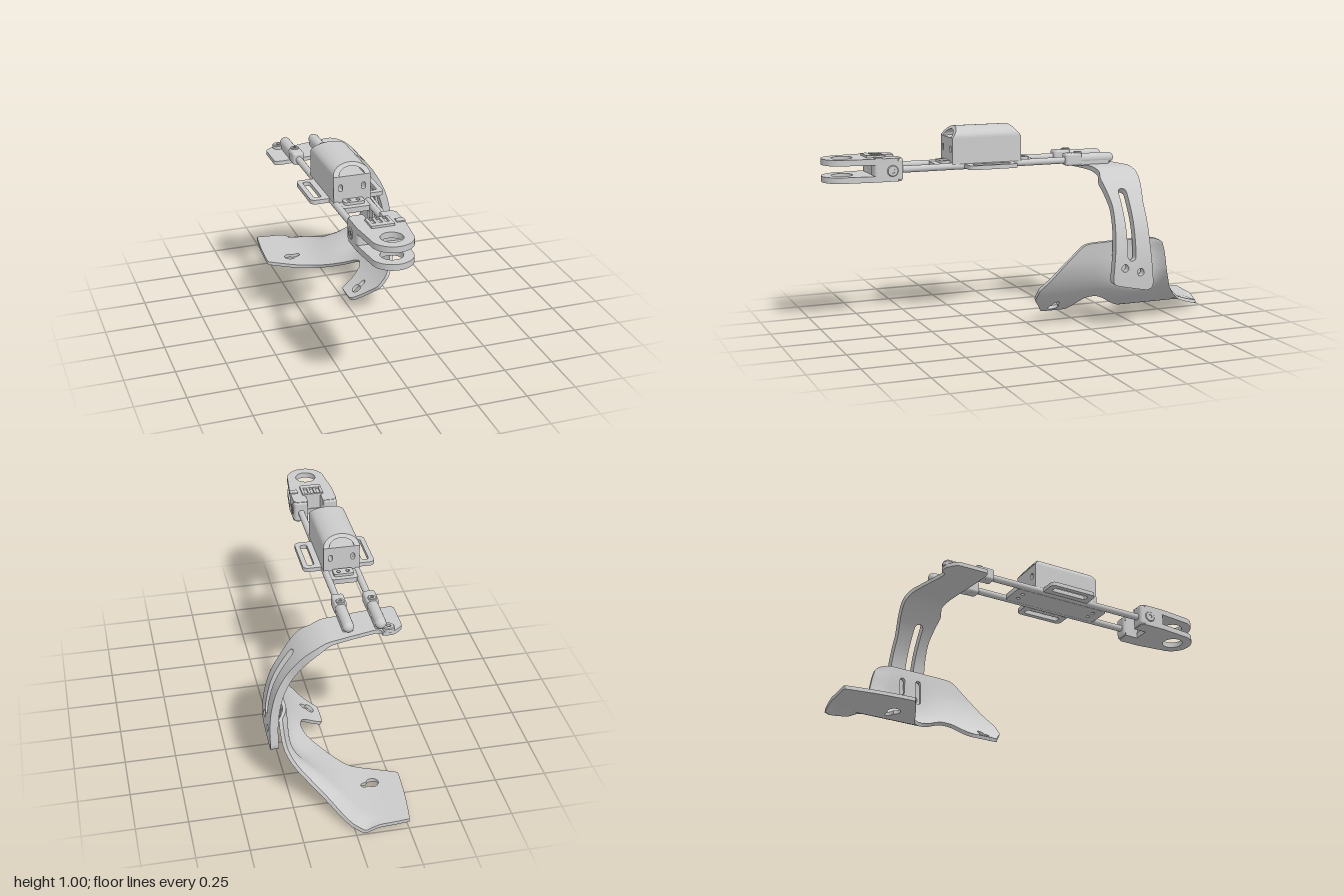
import * as THREE from 'three';
import { toCreasedNormals } from 'three/addons/utils/BufferGeometryUtils.js';
import { RoundedBoxGeometry } from 'three/addons/geometries/RoundedBoxGeometry.js';

const grey = new THREE.MeshStandardMaterial({ color: 0xcccccc });
const V2 = (p) => new THREE.Vector2(p[0], p[1]);

function add(parent, name, geo, x = 0, y = 0, z = 0) {
  const m = new THREE.Mesh(geo, grey);
  m.name = name;
  m.position.set(x, y, z);
  parent.add(m);
  return m;
}

// Closest point to p on the segment a-b
function onSegment(p, a, b) {
  const d = b.clone().sub(a);
  const k = d.lengthSq() ? THREE.MathUtils.clamp(p.clone().sub(a).dot(d) / d.lengthSq(), 0, 1) : 0;
  return a.clone().addScaledVector(d, k);
}

function onPath(p, pts, closed) {
  let best = null, bd = Infinity;
  for (let i = 0; i < pts.length - (closed ? 0 : 1); i++) {
    const q = onSegment(p, pts[i], pts[(i + 1) % pts.length]);
    const d = q.distanceTo(p);
    if (d < bd) { bd = d; best = q; }
  }
  return { q: best, d: bd };
}

function inside(p, pts) {
  let odd = false;
  for (let i = 0, j = pts.length - 1; i < pts.length; j = i++) {
    const a = pts[i], b = pts[j];
    if ((a.y > p.y) !== (b.y > p.y) && p.x < (b.x - a.x) * (p.y - a.y) / (b.y - a.y) + a.x) odd = !odd;
  }
  return odd;
}

// Thick shell: an outline in (distance along a curve, z) with round-ended slots
// [s0, z0, s1, z1, radius], bent along a curve in the xy plane.
function bentShell(curve, outline, slots, thick, lift, step = 0.01) {
  const smooth = new THREE.CatmullRomCurve3(outline.map((p) => new THREE.Vector3(p[0], p[1], 0)), true, 'catmullrom', 0.25);
  const rim = smooth.getPoints(outline.length * 5).slice(0, -1).map((p) => new THREE.Vector2(p.x, p.y));
  const box = new THREE.Box2().setFromPoints(rim).expandByScalar(step * 1.5);
  const ni = Math.ceil((box.max.x - box.min.x) / step), nj = Math.ceil((box.max.y - box.min.y) / step);
  const at = (i, j) => new THREE.Vector2(box.min.x + i * step, box.min.y + j * step);
  const caps = slots.map((c) => ({ a: V2(c), b: V2([c[2], c[3]]), r: c[4] }));
  const kept = [];
  for (let i = 0; i < ni; i++) for (let j = 0; j < nj; j++) {
    const p = at(i + 0.5, j + 0.5);
    kept.push(inside(p, rim) && caps.every((c) => onSegment(p, c.a, c.b).distanceTo(p) > c.r));
  }
  const keep = (i, j) => i >= 0 && j >= 0 && i < ni && j < nj && kept[i * nj + j];

  // Rim vertices slide onto the exact outline or slot edge
  const len = curve.getLength(), cache = new Map();
  const vertex = (i, j) => {
    const key = i * 10000 + j;
    if (cache.has(key)) return cache.get(key);
    let p = at(i, j);
    const n = keep(i, j) + keep(i - 1, j) + keep(i, j - 1) + keep(i - 1, j - 1);
    if (n < 4) {
      let { q, d } = onPath(p, rim, true);
      for (const c of caps) {
        const m = onSegment(p, c.a, c.b), r = m.distanceTo(p);
        if (r > 0 && Math.abs(r - c.r) < d) {
          d = Math.abs(r - c.r);
          q = m.clone().addScaledVector(p.clone().sub(m), c.r / r);
        }
      }
      p = q;
    }
    const u = THREE.MathUtils.clamp(p.x / len, 0, 1);
    const c = curve.getPointAt(u), t = curve.getTangentAt(u), h = thick(p) / 2, o = lift(p);
    const pair = [o + h, o - h].map((k) => [c.x + t.y * k, c.y - t.x * k, p.y]);
    cache.set(key, pair);
    return pair;
  };
  const pos = [];
  const quad = (a, b, c, d) => pos.push(...a, ...b, ...c, ...a, ...c, ...d);
  for (let i = 0; i < ni; i++) for (let j = 0; j < nj; j++) {
    if (!keep(i, j)) continue;
    const v = [vertex(i, j), vertex(i + 1, j), vertex(i + 1, j + 1), vertex(i, j + 1)];
    quad(...v.map((p) => p[0]));
    quad(...v.map((p) => p[1]).reverse());
    [[0, -1], [1, 0], [0, 1], [-1, 0]].forEach(([di, dj], e) => {
      const a = v[e], b = v[(e + 1) % 4];
      if (!keep(i + di, j + dj)) quad(a[1], b[1], b[0], a[0]);
    });
  }
  const geo = new THREE.BufferGeometry();
  geo.setAttribute('position', new THREE.Float32BufferAttribute(pos, 3));
  return toCreasedNormals(geo, 0.7);
}

// Flat plate from a shape drawn in (x, z)
function plate(shape, y0, y1) {
  const geo = new THREE.ExtrudeGeometry(shape, { depth: y1 - y0, bevelEnabled: false, curveSegments: 24 });
  return toCreasedNormals(geo.rotateX(Math.PI / 2).translate(0, y1, 0), 0.6);
}

function roundRect(x0, y0, x1, y1, r, Type = THREE.Shape) {
  const s = new Type();
  s.absarc(x1 - r, y1 - r, r, 0, Math.PI / 2);
  s.absarc(x0 + r, y1 - r, r, Math.PI / 2, Math.PI);
  s.absarc(x0 + r, y0 + r, r, Math.PI, Math.PI * 1.5);
  s.absarc(x1 - r, y0 + r, r, Math.PI * 1.5, Math.PI * 2);
  s.closePath();
  return s;
}

const circle = (x, y, r) => new THREE.Path().absarc(x, y, r, 0, Math.PI * 2);

export function createModel() {
  const model = new THREE.Group();
  model.name = 'wearableArmMount';

  // Rear plate running into the curved arm
  const armCurve = new THREE.SplineCurve([[-0.325, 0.755], [-0.15, 0.755], [-0.03, 0.755], [0.05, 0.748], [0.13, 0.70],
    [0.2, 0.62], [0.26, 0.515], [0.29, 0.41], [0.302, 0.3], [0.3, 0.17]].map(V2));
  const armOutline = [[0, -0.32], [0, -0.47], [0.05, -0.515], [0.1, -0.515], [0.125, -0.49], [0.41, -0.557], [0.5, -0.552],
    [0.62, -0.535], [0.82, -0.54], [1.0, -0.556], [1.03, -0.55], [1.043, -0.52], [1.01, -0.36], [0.98, -0.337],
    [0.82, -0.352], [0.62, -0.365], [0.47, -0.345], [0.41, -0.36], [0.34, -0.345], [0.06, -0.31]];
  add(model, 'curvedArm', bentShell(armCurve, armOutline,
    [[0.55, -0.438, 0.87, -0.438, 0.022], [0.925, -0.4, 0.925, -0.4, 0.019], [0.95, -0.485, 0.95, -0.485, 0.019]],
    (p) => 0.02 + 0.02 * THREE.MathUtils.smoothstep(p.x, 0.3, 0.5), () => 0));

  // Cradle shell with a flared rear edge and a swelling under the arm
  const cradleCurve = new THREE.SplineCurve([[-0.285, 0.027], [-0.1, 0.018], [0, 0.04], [0.1, 0.105],
    [0.18, 0.195], [0.23, 0.3], [0.25, 0.43]].map(V2));
  const rearEdge = [[0.235, -0.995], [0.287, -0.955], [0.376, -0.82], [0.45, -0.75], [0.52, -0.7], [0.62, -0.655],
    [0.72, -0.63], [0.76, -0.615]];
  const cradleOutline = [[0.03, -0.985], [0.05, -0.995], ...rearEdge, [0.773, -0.58], [0.773, -0.5], [0.765, -0.25],
    [0.75, -0.2], [0.65, -0.1], [0.53, -0.01], [0.5, 0], [0.44, 0], [0.39, -0.03], [0.3, -0.075], [0.287, -0.1],
    [0.287, -0.2], [0.3, -0.215], [0.38, -0.24], [0.43, -0.27], [0.45, -0.32], [0.42, -0.38], [0.236, -0.545],
    [0.12, -0.6], [0.01, -0.655], [0.003, -0.68], [0.01, -0.82]];
  const rear = rearEdge.map(V2);
  add(model, 'cradleShell', bentShell(cradleCurve, cradleOutline, [
    [0.14, -0.7, 0.14, -0.7, 0.03], [0.14, -0.7, 0.185, -0.71, 0.015],
    [0.35, -0.125, 0.35, -0.125, 0.028], [0.35, -0.125, 0.395, -0.13, 0.014],
    [0.61, -0.4, 0.71, -0.4, 0.013], [0.61, -0.485, 0.71, -0.485, 0.013],
  ], () => 0.018, (p) => {
    const d = Math.min(1, onPath(p, rear, false).d / 0.08);
    return 0.035 * (1 - d) ** 2 + 0.055 * Math.exp(-(((p.x - 0.53) / 0.12) ** 2) - ((p.y + 0.5) / 0.15) ** 2);
  }));

  // Plate bolt
  const ring = new THREE.LatheGeometry([[0.011, 0], [0.028, 0], [0.028, 0.018], [0.024, 0.022], [0.011, 0.022], [0.011, 0]].map(V2), 24);
  add(model, 'plateBolt', toCreasedNormals(ring, 0.6), -0.255, 0.763, -0.495);

  // Straight frame, built about its own centre line
  const frame = new THREE.Group();
  frame.name = 'railFrame';
  frame.position.set(-0.143, 0.79, 0);
  model.add(frame);

  for (const side of [-1, 1]) {
    const x = side * 0.077;
    add(frame, 'rail', new THREE.CylinderGeometry(0.017, 0.017, 0.98, 20).rotateX(Math.PI / 2), x, 0, 0.17);
    add(frame, 'rearSocket', new RoundedBoxGeometry(0.06, 0.062, 0.09, 3, 0.012), x, 0.004, -0.28);
    add(frame, 'rearFinger', new THREE.CapsuleGeometry(0.027, 0.16, 8, 20).rotateX(Math.PI / 2), x, 0.004, -0.4);
    add(frame, 'fingerFoot', new RoundedBoxGeometry(0.05, 0.03, 0.2, 2, 0.008), x, -0.015, -0.38);
    add(frame, 'socketScrew', toCreasedNormals(ring.clone().scale(0.75, 0.6, 0.75), 0.6), x, 0.028, -0.31);

    // Fork blocks that hold the front rail ends
    add(frame, 'forkBlock', new RoundedBoxGeometry(0.074, 0.112, 0.145, 3, 0.015), x, 0.005, 0.695);
    add(frame, 'pivotBolt', toCreasedNormals(ring.clone().rotateZ(-side * Math.PI / 2), 0.6), side * 0.096, 0, 0.678);
  }

  // Fork: two rounded plates with an eye
  for (const y of [-0.052, 0.032]) {
    const s = new THREE.Shape([[0.04, 0.63], [0.1, 0.63], [0.114, 0.65], [0.114, 0.76], [0.098, 0.9]].map(V2));
    s.absarc(0, 0.902, 0.098, 0, Math.PI);
    [[-0.114, 0.76], [-0.114, 0.65], [-0.1, 0.63], [-0.04, 0.63], [-0.04, 0.7], [0.04, 0.7]].forEach((p) => s.lineTo(...p));
    s.closePath();
    s.holes.push(circle(0, 0.9, 0.052));
    add(frame, 'forkPlate', plate(s, y, y + 0.029));
  }
  add(frame, 'forkBridge', new THREE.BoxGeometry(0.15, 0.1, 0.06), 0, 0.005, 0.735);

  // Latch on the fork
  add(frame, 'latchBase', new THREE.BoxGeometry(0.11, 0.012, 0.03), 0, 0.066, 0.775);
  for (const x of [-0.048, -0.016, 0.016, 0.048]) add(frame, 'latchTooth', new THREE.BoxGeometry(0.014, 0.014, 0.07), x, 0.064, 0.735);
  add(frame, 'latchBar', new THREE.BoxGeometry(0.09, 0.012, 0.012), 0, 0.063, 0.7);
  add(frame, 'latchTab', new THREE.BoxGeometry(0.04, 0.016, 0.035), 0.095, 0.058, 0.745);

  // Centre plate with screw holes at both ends
  const centre = roundRect(-0.066, -0.08, 0.066, 0.44, 0.015);
  for (const z of [-0.03, 0.385]) for (const x of [-0.023, 0.023]) centre.holes.push(circle(x, z, 0.01));
  add(frame, 'centrePlate', plate(centre, -0.014, 0.012));
  for (const z of [-0.03, 0.385]) {
    const pad = roundRect(-0.05, z - 0.025, 0.05, z + 0.025, 0.012);
    for (const x of [-0.023, 0.023]) pad.holes.push(circle(x, z, 0.01));
    add(frame, 'screwPad', plate(pad, 0.01, 0.026));
  }

  // Strap wings
  const wings = roundRect(-0.18, 0.05, 0.18, 0.305, 0.025);
  for (const x of [-0.138, 0.138]) wings.holes.push(roundRect(x - 0.018, 0.08, x + 0.018, 0.275, 0.012, THREE.Path));
  add(frame, 'strapWings', plate(wings, -0.009, 0.012));

  // Housing: slotted box below, open arched hood with sloped ends above
  const body = new THREE.Shape([[-0.09, 0.01], [0.09, 0.01], [0.09, 0.14], [-0.09, 0.14]].map(V2));
  for (const x of [-0.056, 0.056]) body.holes.push(roundRect(x - 0.01, 0.066, x + 0.01, 0.1, 0.0095, THREE.Path));
  const along = { depth: 0.36, bevelEnabled: false, curveSegments: 32 };
  add(frame, 'housingBody', toCreasedNormals(new THREE.ExtrudeGeometry(body, along), 0.6), 0, 0, 0.005);

  const arch = new THREE.Shape();
  arch.absellipse(0, 0.14, 0.09, 0.053, 0, Math.PI, false);
  arch.absellipse(0, 0.14, 0.062, 0.037, Math.PI, 0, true);
  arch.closePath();
  const hood = new THREE.ExtrudeGeometry(arch, along), hp = hood.attributes.position;
  for (let i = 0; i < hp.count; i++) {
    const inset = (hp.getY(i) - 0.14) / 0.053 * 0.04;
    hp.setZ(i, hp.getZ(i) < 0.18 ? inset : 0.36 - inset);
  }
  add(frame, 'housingHood', toCreasedNormals(hood, 0.6), 0, 0, 0.005);

  return model;
}
